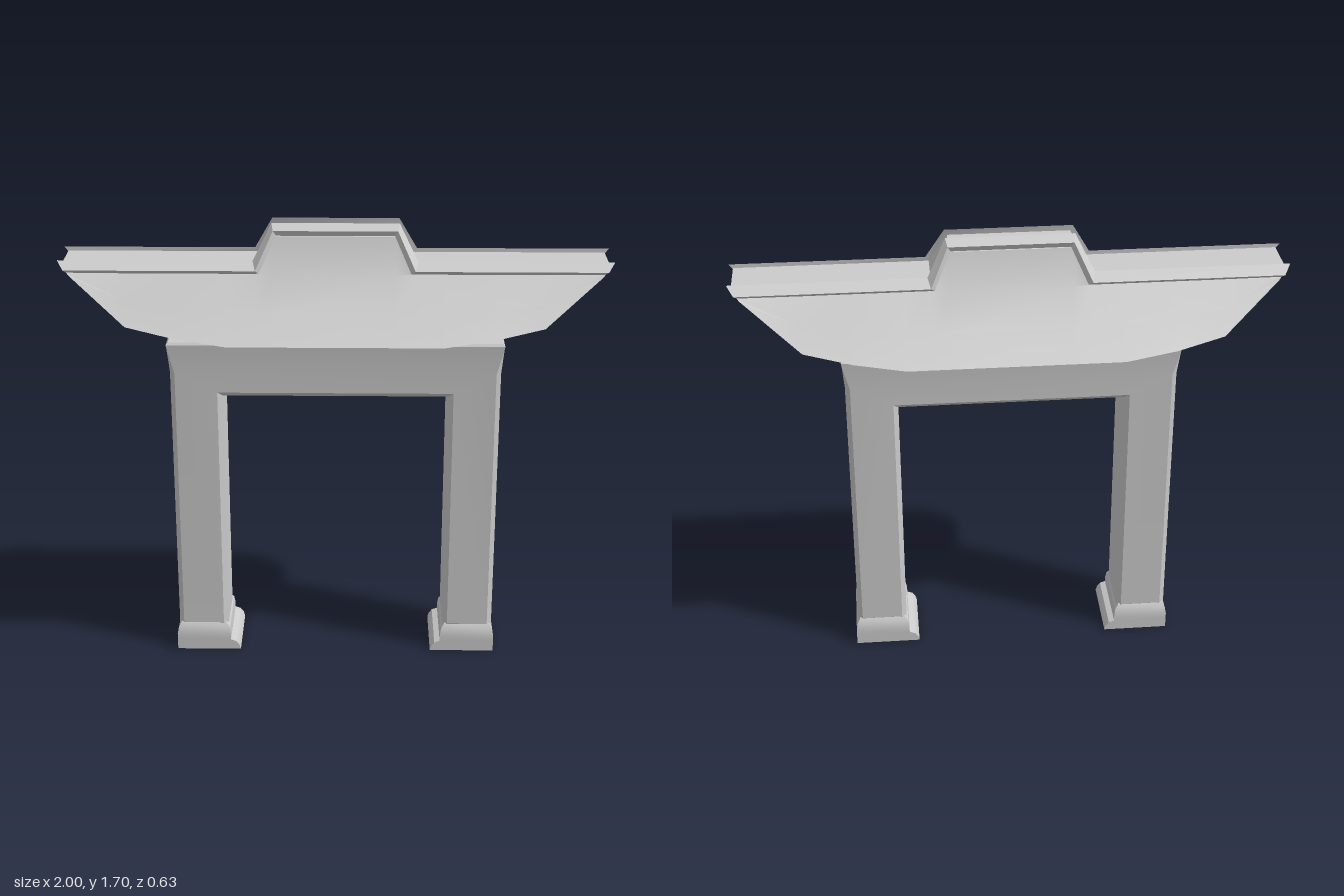
import * as THREE from 'three';
import { toCreasedNormals } from 'three/addons/utils/BufferGeometryUtils.js';

const material = new THREE.MeshStandardMaterial({ color: 0xcccccc, side: THREE.DoubleSide });

function addMesh(parent, name, geometry) {
  const mesh = new THREE.Mesh(toCreasedNormals(geometry, 0.4), material);
  mesh.name = name;
  parent.add(mesh);
}

// Skin a list of closed cross-sections; rings run counter-clockwise about the travel direction
function loft(rings, capStart = true) {
  const n = rings[0].length, last = (rings.length - 1) * n, index = [];
  for (let i = 0; i < rings.length - 1; i++) {
    for (let j = 0; j < n; j++) {
      const a = i * n + j, b = i * n + (j + 1) % n;
      index.push(a, b, a + n, b, b + n, a + n);
    }
  }
  for (let j = 1; j < n - 1; j++) {
    index.push(last, last + j, last + j + 1);
    if (capStart) index.push(0, j + 1, j);
  }
  const geometry = new THREE.BufferGeometry();
  geometry.setAttribute('position', new THREE.Float32BufferAttribute(rings.flat(2), 3));
  geometry.setIndex(index);
  return geometry;
}

// Stack of rectangles: each level is [y, xMin, xMax, half depth]
const stack = (levels, capStart) => loft(levels.map(([y, x0, x1, z]) =>
  [[x1, y, z], [x1, y, -z], [x0, y, -z], [x0, y, z]]), capStart);

// Two legs and lintel in one chamfered outline, flaring at the top
function portal() {
  const half = [[0.59, 1.24], [0.59, 1.15], [0.59, 0.11], [0.435, 0.11], [0.435, 1.075]];
  const outline = [...half, ...half.map(([x, y]) => [-x, y]).reverse()];
  const geometry = new THREE.ExtrudeGeometry(
    new THREE.Shape(outline.map(p => new THREE.Vector2(...p))),
    { depth: 0.2, bevelSize: 0.018, bevelThickness: 0.018, bevelSegments: 1 });
  geometry.translate(0, 0, -0.1);
  const p = geometry.attributes.position;
  for (let i = 0; i < p.count; i++) {
    if (p.getY(i) > 1.2) p.setXYZ(i, Math.sign(p.getX(i)) * 0.615, 1.252, Math.sign(p.getZ(i)) * 0.127);
  }
  return geometry;
}

// Mirror rings of +x stations into a full run from -x to +x
const mirrorX = rings => [
  ...rings.map(r => r.map(([x, y, z]) => [-x, y, z])),
  ...rings.slice().reverse(),
];

function roof() {
  // x, gutter floor [z, y], trim foot [z, y], shoulder [z, y], eave [z, y], soffit centre y
  const stations = [
    [0.985, [0.085, 1.555], [0.09, 1.549], [0.09, 1.549], [0.09, 1.549], 1.549],
    [0.955, [0.085, 1.555], [0.11, 1.535], [0.115, 1.53], [0.125, 1.525], 1.53],
    [0.745, [0.085, 1.555], [0.11, 1.53], [0.113, 1.527], [0.25, 1.375], 1.392],
    [0.57, [0.085, 1.555], [0.11, 1.53], [0.113, 1.527], [0.292, 1.347], 1.372],
    [0.385, [0.085, 1.555], [0.11, 1.53], [0.113, 1.527], [0.315, 1.325], 1.358],
    [0.285, [0.085, 1.555], [0.11, 1.53], [0.113, 1.527], [0.315, 1.325], 1.358],
    [0.22, [0.04, 1.675], [0.062, 1.655], [0.113, 1.527], [0.315, 1.325], 1.358],
  ];
  return loft(mirrorX(stations.map(([x, floor, foot, shoulder, eave, soffit]) => {
    const sag = [(shoulder[0] + eave[0]) / 2, (shoulder[1] + eave[1]) / 2 - 0.05 * (eave[0] - shoulder[0])];
    const side = [floor, foot, shoulder, sag, eave, [Math.min(0.06, eave[0]), soffit]];
    return [
      ...side.map(([z, y]) => [x, y, z]),
      ...side.slice().reverse().map(([z, y]) => [x, y, -z]),
    ];
  })));
}

// Leaning coping that steps up over the raised ridge
function ridgeTrim(side) {
  const low = [[0.085, 1.57], [0.127, 1.545], [0.11, 1.53], [0.085, 1.55]];
  const high = [[0.035, 1.697], [0.07, 1.677], [0.06, 1.657], [0.04, 1.67]];
  const stations = [
    [[1, 0.975, 0.96, 0.985], low],
    [[0.297, 0.287, 0.272, 0.285], low],
    [[0.23, 0.224, 0.212, 0.22], high],
  ];
  return loft(mirrorX(stations.map(([xs, section]) => {
    const ring = section.map(([z, y], i) => [xs[i], y, z * side]);
    return side < 0 ? ring.reverse() : ring;
  })));
}

export function createModel() {
  const gate = new THREE.Group();
  gate.name = 'gate';

  addMesh(gate, 'portalFrame', portal());
  addMesh(gate, 'lintelCap', stack([
    [1.252, -0.615, 0.615, 0.127], [1.263, -0.617, 0.617, 0.128], [1.272, -0.61, 0.61, 0.122]]));

  // Hollow plinths with a toe on the passage side: [y, inner x, outer x, half depth]
  const plinth = [
    [0, 0.37, 0.616, 0.133], [0.018, 0.375, 0.616, 0.133], [0.034, 0.387, 0.616, 0.133],
    [0.042, 0.408, 0.616, 0.133], [0.065, 0.408, 0.616, 0.133],
    [0.092, 0.412, 0.611, 0.127], [0.11, 0.425, 0.6, 0.115],
  ];
  for (const [name, s] of [['left', 1], ['right', -1]]) {
    addMesh(gate, name + 'Plinth', stack(plinth.map(([y, a, b, z]) =>
      s > 0 ? [y, a, b, z] : [y, -b, -a, z]), false));

    // Tapered blocks carrying the roof
    for (const [block, x] of [['OuterBlock', 0.465], ['InnerBlock', 0.122]]) {
      addMesh(gate, name + block, stack([
        [1.265, s * x - 0.087, s * x + 0.087, 0.063], [1.37, s * x - 0.084, s * x + 0.084, 0.05]]));
    }
  }

  addMesh(gate, 'roof', roof());
  addMesh(gate, 'frontRidgeTrim', ridgeTrim(1));
  addMesh(gate, 'backRidgeTrim', ridgeTrim(-1));
  return gate;
}
